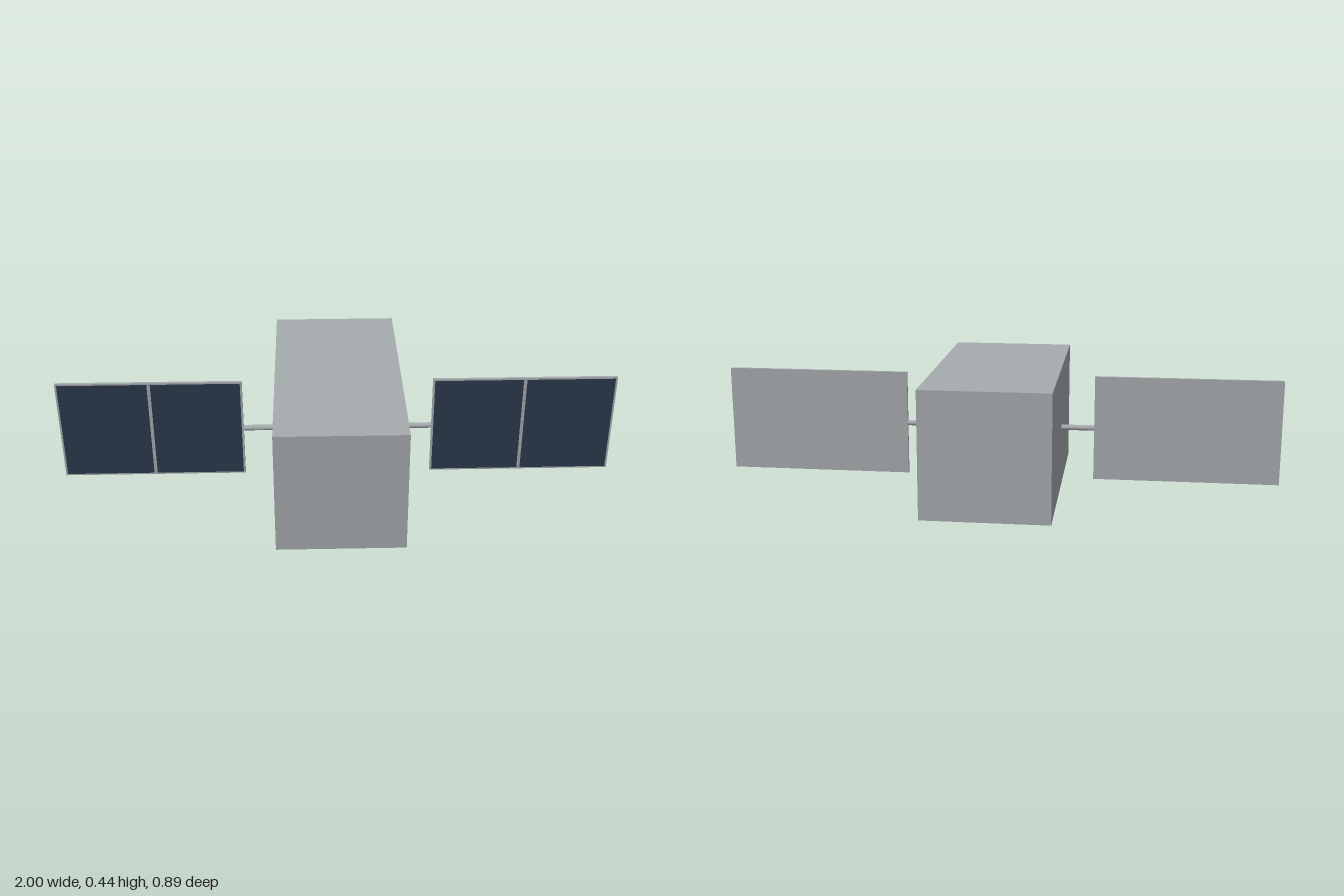
import * as THREE from 'three';

export function createModel() {
  const model = new THREE.Group();
  model.name = 'satellite';

  const grey = new THREE.MeshStandardMaterial({ color: 0xa6abae });
  grey.name = 'metal grey';
  const navy = new THREE.MeshStandardMaterial({ color: 0x2c3a4d });
  navy.name = 'solar cell navy';

  const midY = 0.222;

  function box(name, parent, material, size, position) {
    const mesh = new THREE.Mesh(new THREE.BoxGeometry(...size), material);
    mesh.name = name;
    mesh.position.set(...position);
    parent.add(mesh);
    return mesh;
  }

  // Main body
  box('body', model, grey, [0.444, 0.444, 0.888], [0, midY, 0]);

  // Solar wings on both sides
  for (const [side, s] of [['left', 1], ['right', -1]]) {
    const wing = new THREE.Group();
    wing.name = `${side}Wing`;
    model.add(wing);

    // Faceted arm between the body and the panel
    const armGeometry = new THREE.CylinderGeometry(0.01, 0.01, 0.118, 12).toNonIndexed();
    armGeometry.computeVertexNormals();
    const arm = new THREE.Mesh(armGeometry, grey);
    arm.name = `${side}Arm`;
    arm.rotation.z = Math.PI / 2;
    arm.position.set(s * 0.281, midY, 0);
    wing.add(arm);

    // Panel backing with two cells on its front
    box(`${side}Panel`, wing, grey, [0.66, 0.378, 0.011], [s * 0.67, midY, 0]);
    for (const [i, offset] of [-0.1645, 0.1645].entries()) {
      box(`${side}Cell${i + 1}`, wing, navy, [0.317, 0.366, 0.002],
        [s * 0.67 + offset, midY, 0.0055]);
    }
  }

  return model;
}
